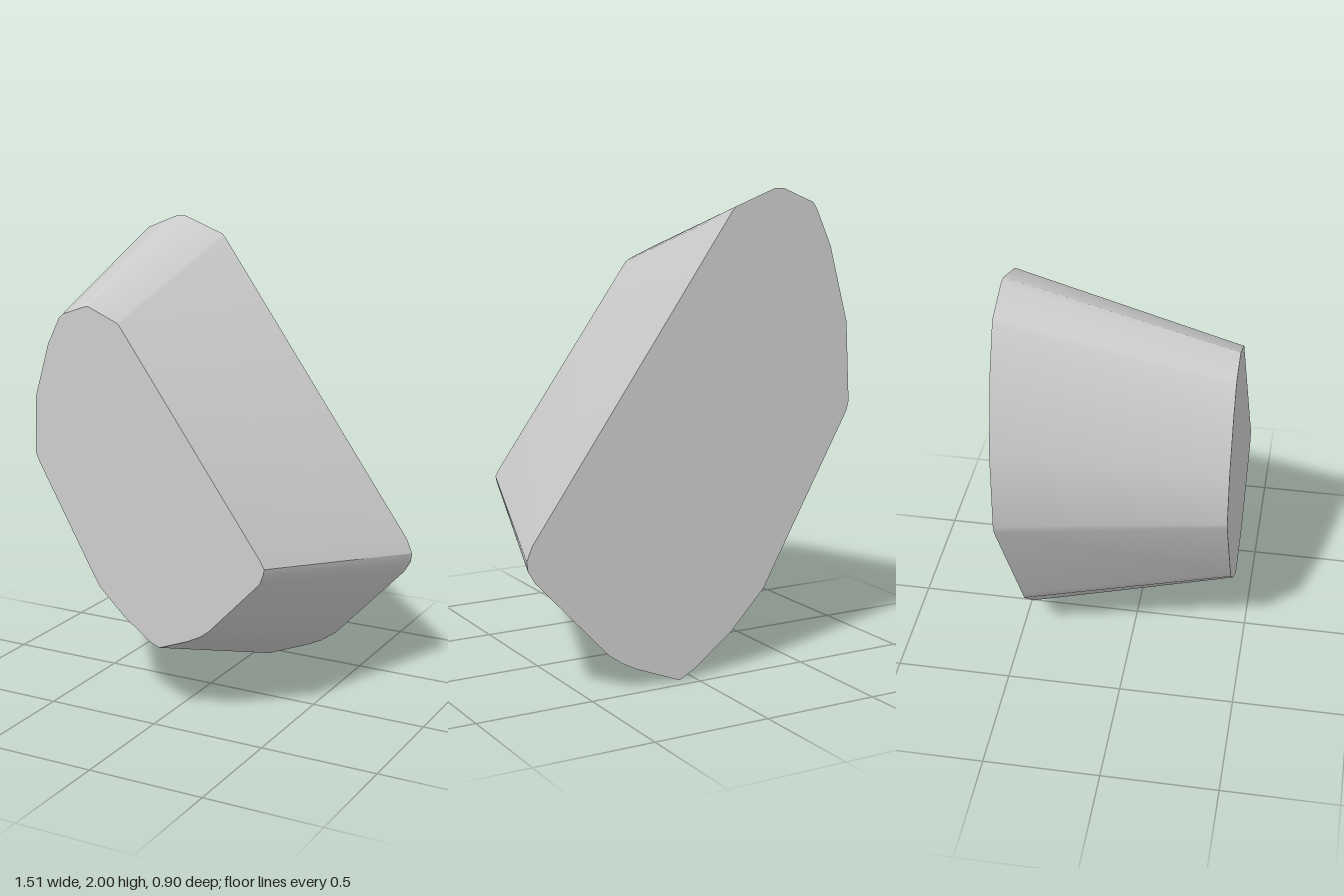
import * as THREE from 'three';
import { toCreasedNormals } from 'three/addons/utils/BufferGeometryUtils.js';

// Outline pairs, counter-clockwise: [back x, back y, front x, front y]
const OUTLINE = [
  [0.07, 0, 0, 0.32], [0.27, 0.08, 0.13, 0.37], [0.33, 0.11, 0.19, 0.4], [0.4, 0.16, 0.23, 0.43],
  [0.72, 0.5, 0.46, 0.67], [0.75, 0.55, 0.475, 0.71], [0.755, 0.59, 0.48, 0.735], [0.73, 0.65, 0.46, 0.77],
  [-0.17, 1.915, -0.175, 1.655], [-0.185, 1.93, -0.19, 1.665],
  [-0.37, 2, -0.32, 1.72], [-0.41, 2, -0.34, 1.715], [-0.56, 1.94, -0.44, 1.68], [-0.58, 1.91, -0.46, 1.66],
  [-0.65, 1.76, -0.515, 1.55], [-0.74, 1.44, -0.58, 1.33], [-0.76, 1.1, -0.59, 1.09], [-0.75, 1.06, -0.58, 1.06],
  [-0.37, 0.39, -0.31, 0.58], [-0.34, 0.335, -0.285, 0.54], [-0.18, 0.17, -0.17, 0.43], [0, 0.035, -0.04, 0.335],
];
const HALF_DEPTH = 0.45;

function taperedBlock() {
  const n = OUTLINE.length;
  const positions = [];
  const index = [];
  // Back ring, then front ring
  for (const [x, y] of OUTLINE) positions.push(x, y, -HALF_DEPTH);
  for (const [, , x, y] of OUTLINE) positions.push(x, y, HALF_DEPTH);
  // Sloping sides
  for (let i = 0; i < n; i++) {
    const j = (i + 1) % n;
    index.push(i, j, n + j, i, n + j, n + i);
  }
  // Flat caps
  for (let i = 1; i < n - 1; i++) {
    index.push(0, i + 1, i);
    index.push(n, n + i, n + i + 1);
  }
  const geometry = new THREE.BufferGeometry();
  geometry.setAttribute('position', new THREE.Float32BufferAttribute(positions, 3));
  geometry.setIndex(index);
  return toCreasedNormals(geometry, 0.5);
}

export function createModel() {
  const stone = new THREE.MeshStandardMaterial({ color: 0xcccccc });
  stone.name = 'light grey';
  const block = new THREE.Mesh(taperedBlock(), stone);
  block.name = 'taperedBlock';
  const group = new THREE.Group();
  group.name = 'model';
  group.add(block);
  return group;
}
